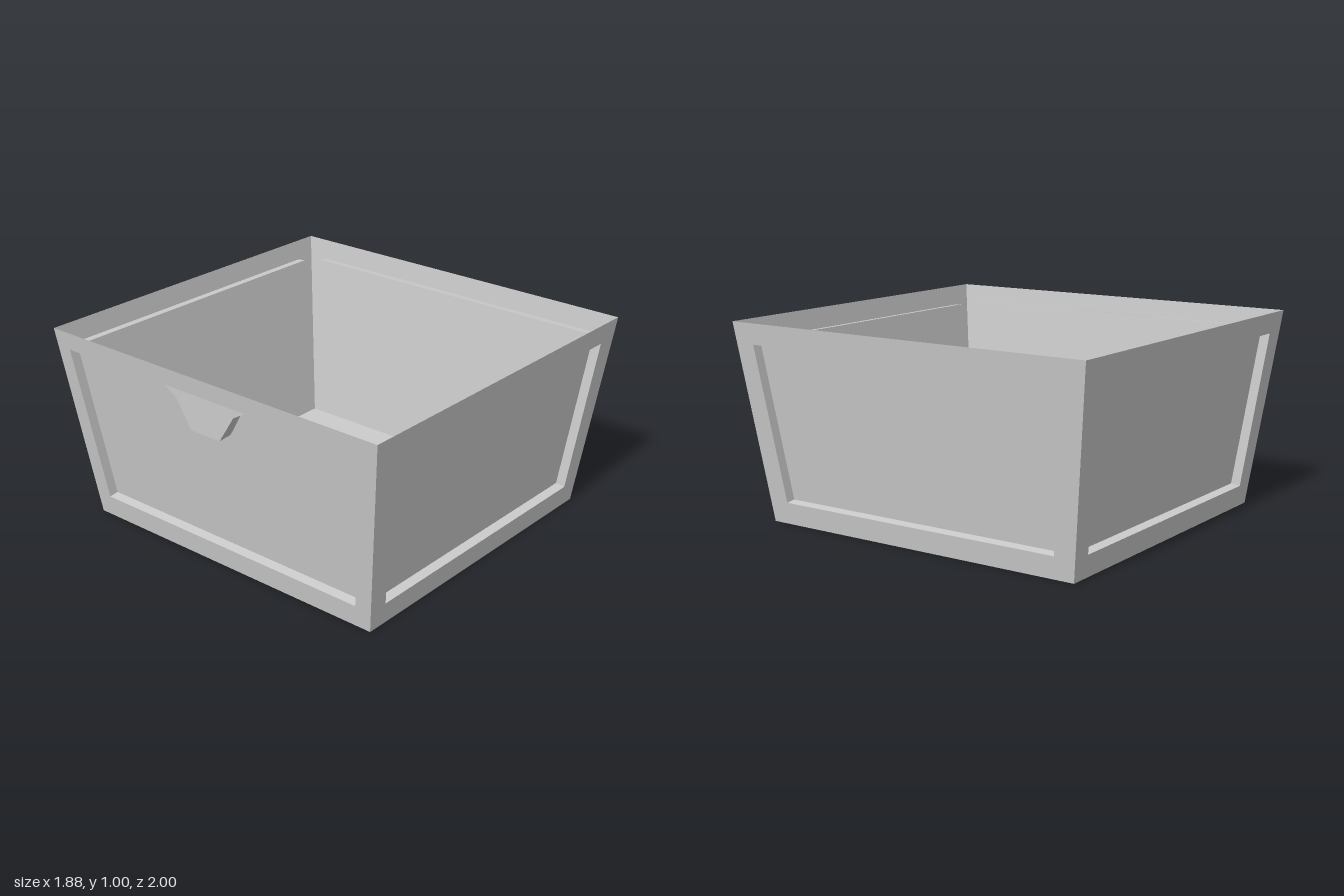
import * as THREE from 'three';

const material = new THREE.MeshStandardMaterial({ color: 0xcccccc, side: THREE.DoubleSide, flatShading: true });
const BASE = { x: 0.82, z: 0.875 };
const RIM = { x: 0.94, z: 1 };
const DEPTH = 0.05; // how far the panels are set in

function mesh(name, geometry) {
  geometry.computeVertexNormals();
  const m = new THREE.Mesh(geometry, material);
  m.name = name;
  return m;
}

// Flat outline of [u, y] points, with an optional hole, carried into place by a rule
function sheet(name, outline, place, hole) {
  const toPoints = (list) => list.map(([u, y]) => new THREE.Vector2(u, y));
  const shape = new THREE.Shape(toPoints(outline));
  if (hole) shape.holes.push(new THREE.Path(toPoints(hole)));
  const geometry = new THREE.ShapeGeometry(shape);
  const pos = geometry.attributes.position;
  for (let i = 0; i < pos.count; i++) pos.setXYZ(i, ...place(pos.getX(i), pos.getY(i)));
  return mesh(name, geometry);
}

// Band of quads joining a run of points on one surface to the same run on another
function band(name, points, from, to) {
  const v = [];
  for (let i = 0; i + 1 < points.length; i++) {
    const a = from(...points[i]), b = from(...points[i + 1]);
    const c = to(...points[i + 1]), d = to(...points[i]);
    v.push(...a, ...b, ...c, ...a, ...c, ...d);
  }
  const geometry = new THREE.BufferGeometry();
  geometry.setAttribute('position', new THREE.Float32BufferAttribute(v, 3));
  return mesh(name, geometry);
}

const trapezoid = (low, high, y0, y1) => [[-low, y0], [low, y0], [high, y1], [-high, y1]];

// One leaning wall facing +z: frame, recess edge and set-in panel, plus an optional grip
function wall(name, across, out, panel, grip) {
  const group = new THREE.Group();
  group.name = name;
  const lean = RIM[out] - BASE[out];
  const tilt = Math.atan(lean);
  const outer = (u, y) => [u, y, BASE[out] + lean * y];
  const inner = (u, y) => [u, y + DEPTH * Math.sin(tilt), BASE[out] + lean * y - DEPTH * Math.cos(tilt)];

  const { low, high, top } = panel;
  const recess = trapezoid(low, high, 0.11, top);
  group.add(sheet('frame', trapezoid(BASE[across], RIM[across], 0, 1), outer, recess));
  group.add(sheet('panel', recess, inner));

  const [bl, br, tr, tl] = recess;
  if (!grip) {
    group.add(band('recessEdge', [bl, br, tr, tl, bl], outer, inner));
    return group;
  }

  // Grip: upright tab hanging from the frame, hollow towards the inside
  const right = [[0.25, top], [0.18, 0.87], [0.09, 0.73]];
  const tab = [...right, ...right.map(([u, y]) => [-u, y]).reverse()];
  const tabFace = (u, y) => [u, y, outer(u, top)[2]];
  group.add(band('recessEdge', [tab[5], tl, bl, br, tr, tab[0]], outer, inner));
  group.add(sheet('gripFace', tab, tabFace));
  group.add(band('gripEdge', tab, tabFace, inner));
  return group;
}

export function createModel() {
  const model = new THREE.Group();
  model.name = 'openBox';

  // Floor
  const floor = new THREE.PlaneGeometry(2 * BASE.x, 2 * BASE.z).rotateX(Math.PI / 2);
  model.add(mesh('floor', floor));

  // Four walls, the grip on the right one
  const endPanel = { low: 0.73, high: 0.815, top: 0.895 };
  const leftPanel = { low: 0.78, high: 0.88, top: 0.895 };
  const rightPanel = { low: 0.8, high: 0.905, top: 0.91 };
  const walls = [
    wall('frontWall', 'x', 'z', endPanel),
    wall('leftWall', 'z', 'x', leftPanel),
    wall('backWall', 'x', 'z', endPanel),
    wall('rightWall', 'z', 'x', rightPanel, true),
  ];
  walls.forEach((w, i) => {
    w.rotation.y = (i * Math.PI) / 2;
    model.add(w);
  });
  return model;
}
